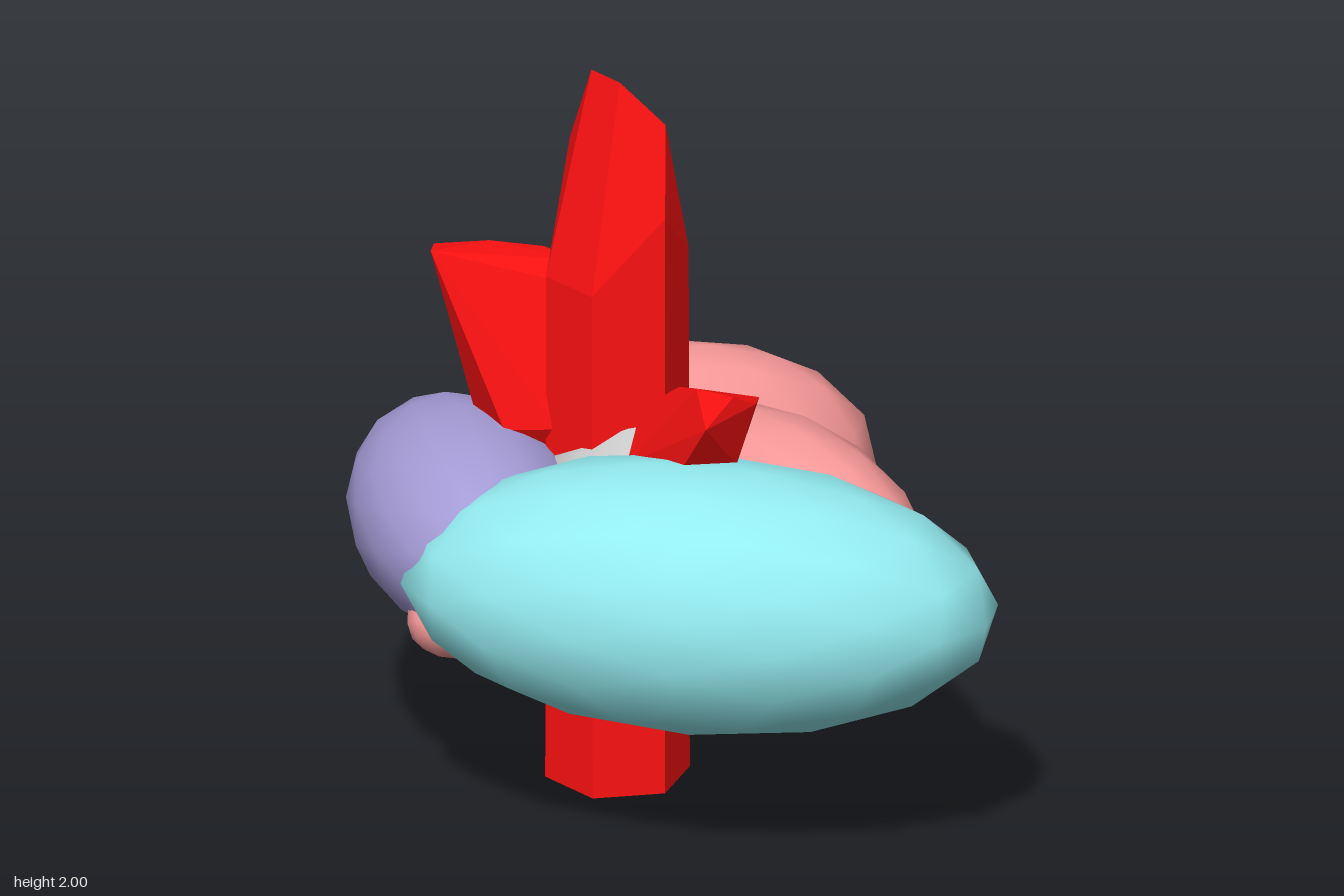
import * as THREE from 'three';
import { ConvexGeometry } from 'three/addons/geometries/ConvexGeometry.js';

const red = new THREE.MeshStandardMaterial({ color: 0xff1111, flatShading: true });
const pink = new THREE.MeshStandardMaterial({ color: 0xf79898 });
const cyan = new THREE.MeshStandardMaterial({ color: 0x93ebf0 });
const purple = new THREE.MeshStandardMaterial({ color: 0xa59bd6 });
const grey = new THREE.MeshStandardMaterial({ color: 0xcccccc });

export function createModel() {
  const model = new THREE.Group();
  model.name = 'crystalCluster';
  const ball = new THREE.IcosahedronGeometry(1, 2);

  // Smooth pebble: centre, radii and turn about the vertical
  const pebble = (name, material, centre, radii, turn = 0) => {
    const mesh = new THREE.Mesh(ball, material);
    mesh.name = name;
    mesh.position.set(...centre);
    mesh.scale.set(...radii);
    mesh.rotation.y = turn;
    model.add(mesh);
  };

  // Faceted crystal: convex solid around its corner points
  const crystal = (name, corners) => {
    const points = corners.map((c) => new THREE.Vector3(...c));
    const mesh = new THREE.Mesh(new ConvexGeometry(points), red);
    mesh.name = name;
    model.add(mesh);
  };

  // Ring of pebbles around a core
  pebble('corePebble', grey, [-0.08, 0.71, 0.03], [0.38, 0.36, 0.33]);
  pebble('frontLeftPebble', cyan, [0.27, 0.71, 0.19], [0.8, 0.366, 0.4], 0.675);
  pebble('frontRightPebble', purple, [-0.46, 0.745, 0.37], [0.53, 0.28, 0.305], -0.496);
  pebble('backRightPebble', pink, [-0.435, 0.69, -0.3], [0.56, 0.366, 0.272], 1.026);
  pebble('backLeftPebble', pink, [0.1, 0.69, -0.22], [0.57, 0.354, 0.282]);
  pebble('smallFrontPebble', pink, [-0.28, 0.57, 0.53], [0.13, 0.115, 0.17]);

  // Main crystal: hexagonal column with a chiselled tip
  const base = [];
  for (let i = 0; i < 6; i++) {
    const a = (i * Math.PI) / 3;
    base.push([-0.232 + 0.193 * Math.cos(a), 0, 0.045 + 0.193 * Math.sin(a)]);
  }
  crystal('mainCrystal', [
    ...base,
    [-0.325, 1.43, 0.212], [-0.14, 1.43, 0.212],
    [-0.425, 1.75, 0.045], [-0.039, 1.64, 0.045],
    [-0.325, 1.48, -0.122], [-0.14, 1.48, -0.122],
    [-0.285, 2, 0.09], [-0.17, 2, 0.09],
    [-0.09, 1.88, 0], [-0.3, 1.9, 0],
  ]);

  // Small crystals leaning outward
  crystal('frontRightCrystal', [
    [-0.63, 1.46, 0.34], [-0.56, 1.48, 0.41], [-0.57, 1.45, 0.2],
    [-0.5, 1.42, 0.07], [-0.4, 1.41, 0.05], [-0.36, 1.38, 0.13],
    [-0.55, 1, 0.27], [-0.38, 1, 0.31], [-0.29, 1, 0.2],
    [-0.33, 1, 0.06], [-0.45, 1, 0.05], [-0.36, 0.85, 0.15],
  ]);
  crystal('backRightCrystal', [
    [-0.83, 1.07, -0.35], [-0.74, 1.11, -0.41], [-0.52, 1.19, -0.27],
    [-0.66, 1.18, -0.14], [-0.8, 1.11, -0.22], [-0.69, 1, -0.33], [-0.7, 1, -0.2],
    [-0.36, 1.1, -0.14], [-0.33, 1, 0], [-0.45, 1, 0.05],
    [-0.42, 1.08, 0.04], [-0.35, 0.85, -0.05],
  ]);
  crystal('leftCrystal', [
    [0.27, 1.3, 0.2], [0.36, 1.29, 0.15], [0.38, 1.26, 0.09],
    [0.26, 1.21, -0.025], [0.32, 1.2, 0.21], [0.28, 1.05, 0.07],
    [-0.05, 1.05, 0.08], [0, 1.17, 0.03], [0.01, 1.15, 0.17],
    [0, 1, 0.21], [0, 1, -0.025], [0.1, 0.9, 0.19], [0.12, 0.9, 0],
  ]);

  return model;
}
